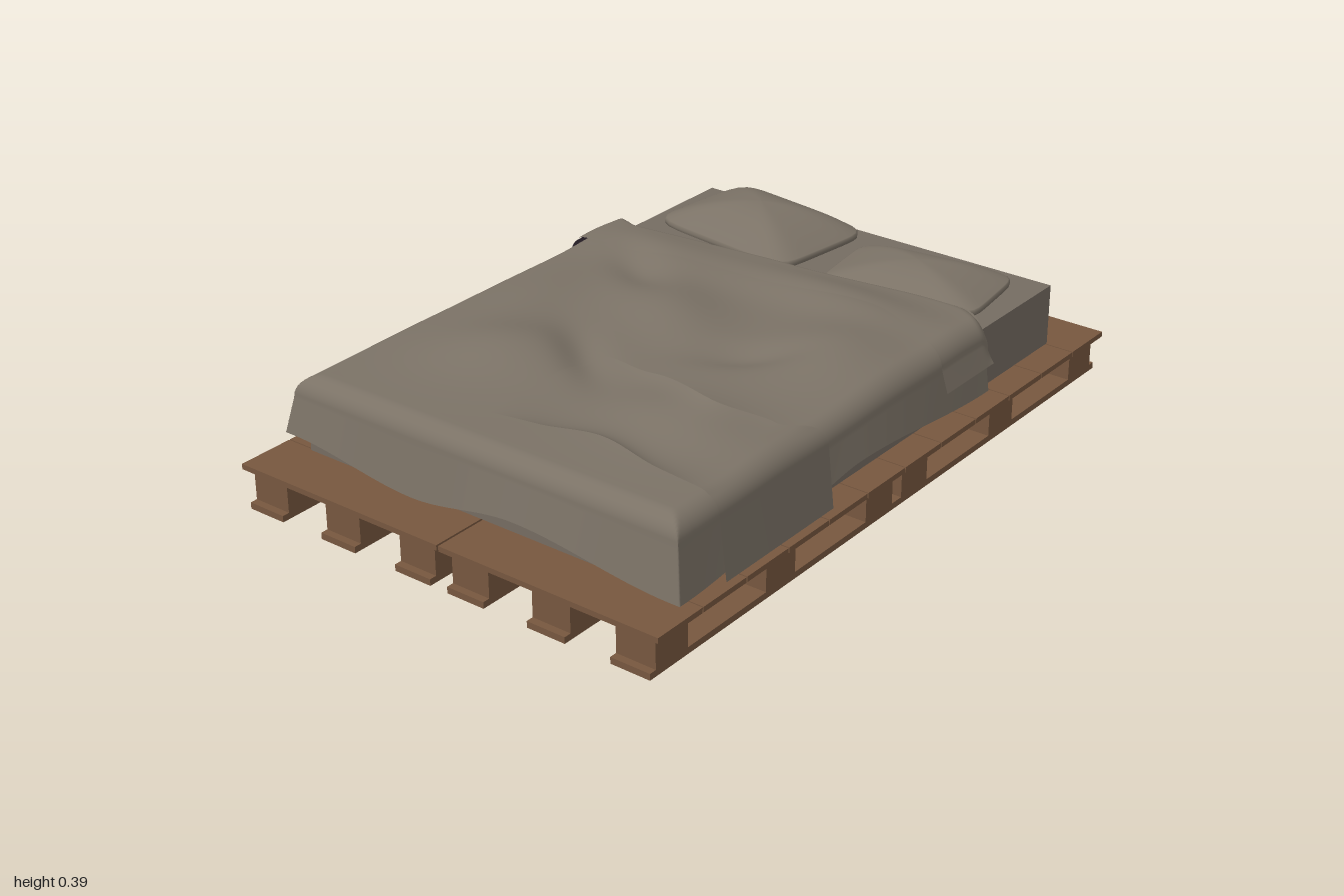
import * as THREE from 'three';

const WOOD = 0x77573f, CLOTH = 0x7b7266, SHEET = 0x756c62, PURPLE = 0x40343f, RED = 0x8c3128;
const mat = (color) => new THREE.MeshStandardMaterial({ color });
const mix = THREE.MathUtils.lerp;

// Smooth value through a short list of [position, value] pairs
function along(points, t) {
  if (t <= points[0][0]) return points[0][1];
  for (let i = 1; i < points.length; i++) {
    const [a, va] = points[i - 1], [b, vb] = points[i];
    if (t <= b) return mix(va, vb, THREE.MathUtils.smoothstep(t, a, b));
  }
  return points[points.length - 1][1];
}

function box(name, color, w, h, d, x, y, z) {
  const mesh = new THREE.Mesh(new THREE.BoxGeometry(w, h, d), mat(color));
  mesh.name = name;
  mesh.position.set(x, y, z);
  return mesh;
}

// Cloth over an edge: flat, then a quarter round, then hanging (hang 0..1)
function fold(p, start, end, r) {
  if (p < 0.7) return { pos: mix(start, end - r, p / 0.7), arc: 0, hang: 0 };
  const a = Math.min(1, (p - 0.7) / 0.15) * Math.PI / 2;
  const hang = Math.max(0, (p - 0.85) / 0.15);
  return { pos: end - r + r * Math.sin(a) + 0.02 * hang, arc: r * (1 - Math.cos(a)), hang };
}

// The same on both sides of x, u from 0 to 1
function foldAcross(u, half, r) {
  const f = fold(Math.abs(2 * u - 1), 0, half, r);
  f.pos *= Math.sign(u - 0.5);
  return f;
}

// Cloth surface point(u, v) with a thin lining beneath it
function cloth(name, color, liningColor, nu, nv, point) {
  const pos = [], index = [], flipped = [];
  for (let j = 0; j <= nv; j++)
    for (let i = 0; i <= nu; i++) pos.push(...point(i / nu, j / nv));
  for (let j = 0; j < nv; j++)
    for (let i = 0; i < nu; i++) {
      const a = j * (nu + 1) + i, b = a + nu + 1;
      index.push(a, b, a + 1, a + 1, b, b + 1);
      flipped.push(a, a + 1, b, a + 1, b + 1, b);
    }
  const geo = new THREE.BufferGeometry();
  geo.setAttribute('position', new THREE.Float32BufferAttribute(pos, 3));
  geo.setIndex(index);
  geo.computeVertexNormals();
  const under = geo.clone();
  under.setIndex(flipped);
  const p = under.attributes.position, n = geo.attributes.normal;
  for (let i = 0; i < p.count; i++)
    p.setXYZ(i, p.getX(i) - 0.004 * n.getX(i), p.getY(i) - 0.004 * n.getY(i), p.getZ(i) - 0.004 * n.getZ(i));
  under.computeVertexNormals();
  const group = new THREE.Group();
  group.name = name;
  const outer = new THREE.Mesh(geo, mat(color)), lining = new THREE.Mesh(under, mat(liningColor));
  outer.name = name + 'Outside';
  lining.name = name + 'Lining';
  group.add(outer, lining);
  return group;
}

// Soft rumples on top of the bed: x, z, height, width, depth, turn
const RUMPLES = [
  [-0.27, 0.42, 0.042, 0.2, 0.16, 0.5], [0.33, 0.47, 0.034, 0.2, 0.13, 0],
  [0.4, -0.08, 0.036, 0.16, 0.2, 0.2], [-0.1, -0.02, 0.034, 0.22, 0.13, -0.6],
  [-0.35, -0.3, 0.02, 0.25, 0.1, 0], [0.2, -0.33, 0.028, 0.3, 0.09, 0],
  [-0.1, 0.33, -0.026, 0.17, 0.06, -0.7], [-0.32, -0.17, -0.02, 0.15, 0.06, -0.6],
  [0.22, 0.08, -0.02, 0.14, 0.06, 0.6], [-0.45, 0.12, 0.014, 0.1, 0.2, 0],
];
function topHeight(x, z) {
  let y = 0.327;
  for (const [cx, cz, h, w, d, turn] of RUMPLES) {
    const c = Math.cos(turn), s = Math.sin(turn), dx = x - cx, dz = z - cz;
    y += h * Math.exp(-(((c * dx - s * dz) / w) ** 2) - ((s * dx + c * dz) / d) ** 2);
  }
  return Math.max(y, 0.312);
}

const headEdge = (x) => along([[-0.63, -0.45], [-0.5, -0.4], [0, -0.45], [0.5, -0.51], [0.63, -0.45]], x);
const bandEdge = (x) => along([[-0.63, -0.23], [0, -0.28], [0.35, -0.31], [0.63, -0.23]], x);
const footHem = (x) => along([[-0.6, 0.17], [-0.2, 0.127], [0.13, 0.172], [0.6, 0.127]], x);
const leftHem = (z) => along([[-0.45, 0.145], [0.15, 0.19], [0.4, 0.165], [0.85, 0.127]], z);
const rightHem = (z) => along([[-0.45, 0.15], [0, 0.185], [0.4, 0.145], [0.85, 0.17]], z);

function blanketPoint(u, v) {
  const fx = foldAcross(u, 0.61, 0.055);
  const fz = fold(v, headEdge(fx.pos), 0.855, 0.055);
  const x = fx.pos, z = fz.pos;
  const y = topHeight(x, z) - Math.max(fx.arc, fz.arc);
  const hem = fx.hang > fz.hang ? (x > 0 ? leftHem(z) : rightHem(z)) : footHem(x);
  return [x, mix(y, hem, Math.max(fx.hang, fz.hang)), z];
}

// Turned-back strip at the head, rolled under at its head edge
function bandPoint(u, v) {
  const f = foldAcross(u, 0.618, 0.055), x = f.pos;
  const z = mix(headEdge(x) - 0.006, bandEdge(x), v);
  const roll = 0.03 * Math.max(0, 1 - v / 0.15) ** 2;
  const y = topHeight(x, z) + 0.012 - f.arc - roll;
  return [x, mix(y, 0.225, f.hang), z];
}

// Small throw across one foot corner, its long edges curling up
function throwPoint(u, v) {
  const f = fold(u, -0.07, 0.622, 0.055), x = f.pos;
  const back = along([[-0.07, 0.31], [0.15, 0.36], [0.38, 0.42], [0.53, 0.37], [0.62, 0.28]], x);
  const front = along([[-0.07, 0.72], [0.08, 0.72], [0.25, 0.69], [0.45, 0.72], [0.64, 0.715]], x);
  const z = mix(back, front, v);
  const curl = 0.026 * Math.abs(2 * v - 1) ** 4 * Math.sin(Math.PI * Math.min(1, u / 0.75));
  const y = topHeight(x, z) + 0.012 + curl - f.arc;
  return [x, mix(y, 0.102 + 0.018 * v, f.hang), z];
}

// Pillow: rounded rectangle outline, flat below, domed above a thin rim
function pillow(name, w, d, h, x, z, turn) {
  const geo = new THREE.SphereGeometry(1, 64, 32), p = geo.attributes.position;
  for (let i = 0; i < p.count; i++) {
    const px = p.getX(i), py = p.getY(i), pz = p.getZ(i);
    const r = Math.min(1, Math.hypot(px, pz)), a = Math.atan2(pz, px);
    const c = Math.cos(a), s = Math.sin(a);
    const k = r / (Math.abs(c) ** 7 + Math.abs(s) ** 7) ** (1 / 7);
    const y = py > 0.01 ? 0.014 + (h - 0.014) * (1 - r ** 1.9) : py < -0.01 ? 0 : 0.007;
    p.setXYZ(i, c * k * w / 2, y, s * k * d / 2);
  }
  geo.computeVertexNormals();
  const mesh = new THREE.Mesh(geo, mat(CLOTH));
  mesh.name = name;
  mesh.position.set(x, 0.295, z);
  mesh.rotation.y = turn;
  return mesh;
}

export function createModel() {
  const model = new THREE.Group();
  model.name = 'palletBed';

  // Pallet base: deck boards, blocks and bottom runners
  const base = new THREE.Group();
  base.name = 'palletBase';
  for (const side of [-1, 1])
    for (let i = 0; i < 12; i++)
      base.add(box('deckBoard', WOOD, 0.662, 0.015, 0.163, side * 0.334, 0.1125, -1 + (i + 0.5) / 6));
  for (const side of [-1, 1])
    for (const cx of [0.085, 0.335, 0.585]) {
      base.add(box('bottomRunner', WOOD, 0.115, 0.018, 2, side * cx, 0.009, 0));
      for (const end of [-1, 1])
        for (const cz of [0.08, 0.5, 0.92])
          base.add(box('block', WOOD, 0.115, 0.088, 0.118, side * cx, 0.062, end * cz));
    }
  model.add(base);

  // Mattress and pillows
  model.add(box('mattress', SHEET, 1.16, 0.175, 1.68, 0, 0.2075, 0));
  model.add(pillow('rightPillow', 0.5, 0.36, 0.087, -0.28, -0.676, -0.13));
  model.add(pillow('leftPillow', 0.465, 0.295, 0.07, 0.28, -0.633, 0.13));

  // Bedding
  model.add(cloth('blanket', CLOTH, PURPLE, 120, 100, blanketPoint));
  model.add(cloth('turnedBackBand', CLOTH, PURPLE, 120, 24, bandPoint));
  model.add(cloth('cornerThrow', CLOTH, RED, 80, 40, throwPoint));
  return model;
}
